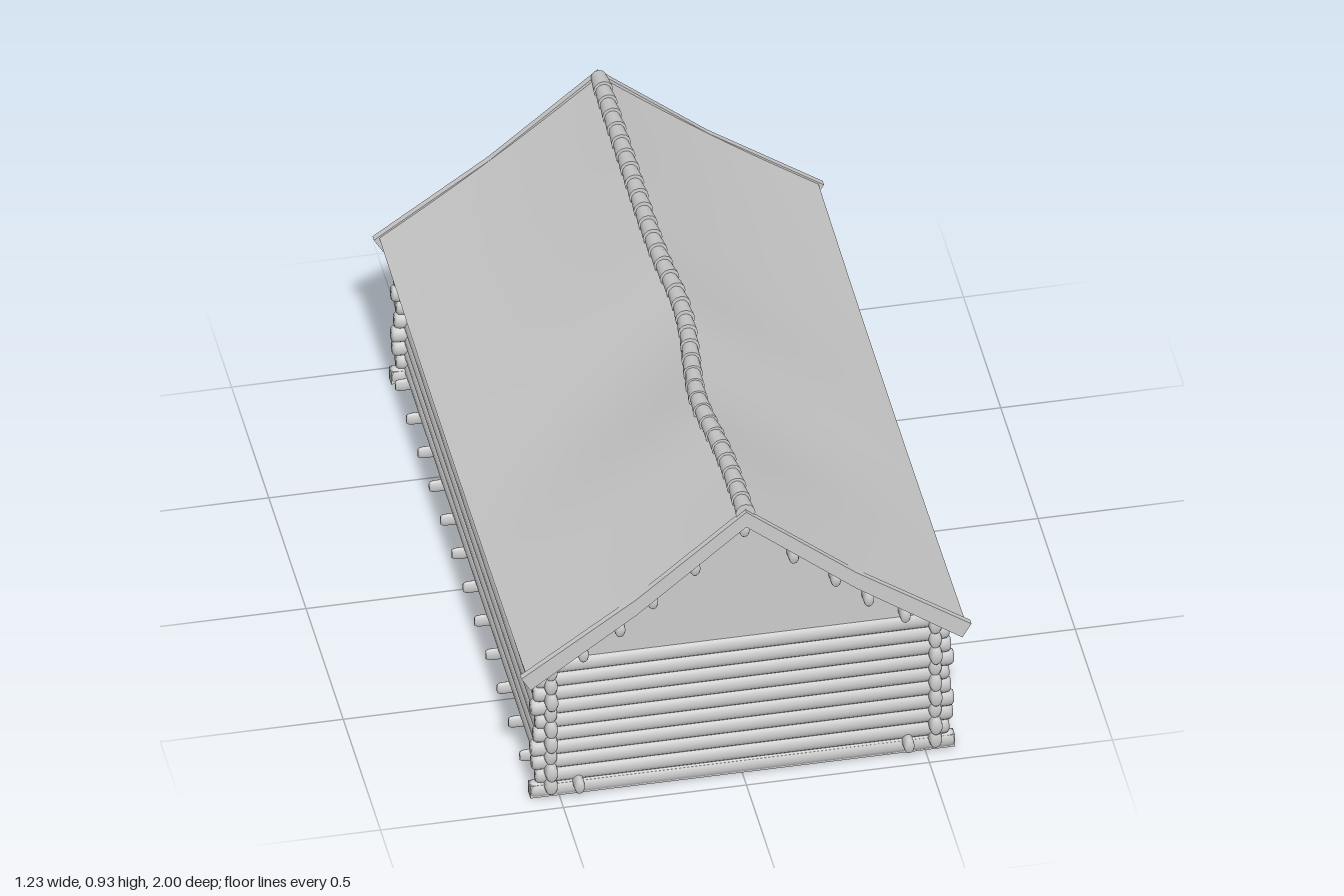
import * as THREE from 'three';

const material = new THREE.MeshStandardMaterial({ color: 0xcccccc, side: THREE.DoubleSide });

const gauss = (z, c, w) => Math.exp(-(((z - c) / w) ** 2));
// Height of the sagging roof surface
function roofTop(x, z) {
  const t = Math.abs(x) / 0.6;
  const ridge = 0.908 - 0.02 * gauss(z, 0.25, 0.28) - 0.008 * gauss(z, -0.2, 0.3);
  const eave = 0.455 - 0.015 * Math.cos((z * Math.PI) / 2);
  return ridge * (1 - t) + eave * t - 0.012 * Math.sin(Math.PI * t);
}
// Sideways wander of the ridge
const ridgeX = (z) => 0.018 * gauss(z, 0.05, 0.2) - 0.02 * gauss(z, 0.47, 0.2);

export function createModel() {
  const model = new THREE.Group();

  function add(name, geometry, x = 0, y = 0, z = 0) {
    const mesh = new THREE.Mesh(geometry, material);
    mesh.name = name;
    mesh.position.set(x, y, z);
    model.add(mesh);
    return mesh;
  }

  // Oval log with rounded ends, lying along z
  function logGeometry(length, halfWidth, halfHeight) {
    const h = length / 2;
    const profile = [[0, -h], [0.7, -h], [0.93, -h + 0.006], [1, -h + 0.016],
      [1, h - 0.016], [0.93, h - 0.006], [0.7, h], [0, h]];
    const g = new THREE.LatheGeometry(profile.map(([r, y]) => new THREE.Vector2(r, y)), 14);
    g.rotateX(Math.PI / 2);
    g.scale(halfWidth, halfHeight, 1);
    g.computeVertexNormals();
    return g;
  }

  // Interlocking log walls, the side rows raised by half a log
  const pitch = 0.0475;
  const endReach = [0.58, 0.565, 0.575, 0.578, 0.57, 0.565, 0.578, 0.57, 0.565, 0.555];
  for (const s of [-1, 1]) {
    for (let i = 0; i < 10; i++) {
      const endLog = logGeometry(endReach[i] * 2, 0.02, 0.027);
      endLog.rotateY(Math.PI / 2);
      add('endWallLog', endLog, 0, 0.028 + i * 0.0455, s * 0.935);
      if (i < 9) {
        const reach = 0.972 + 0.008 * Math.sin(i * 2.3);
        add('sideWallLog', logGeometry(reach * 2, 0.018, 0.028), s * 0.525, 0.047 + i * pitch, 0);
      }
    }
    // Sill under the end wall
    add('endSill', new THREE.BoxGeometry(1.16, 0.04, 0.03), 0, 0.026, s * 0.935);
  }

  // Gable panels and the purlin ends poking through them
  const gable = new THREE.Shape([[-0.525, 0.43], [0.525, 0.43], [0.525, 0.455], [0.27, 0.635],
    [0, 0.87], [-0.27, 0.635], [-0.525, 0.455]].map(([x, y]) => new THREE.Vector2(x, y)));
  const gableGeometry = new THREE.ExtrudeGeometry(gable, { depth: 0.02, bevelEnabled: false });
  const purlinGeometry = logGeometry(0.09, 0.015, 0.024);
  const purlins = [[0.135, 0.73], [0.25, 0.635], [0.34, 0.555], [0.44, 0.485], [0.45, 0.045]];
  for (const s of [-1, 1]) {
    add('gable', gableGeometry, 0, 0, s * 0.935 - 0.01);
    add('ridgePurlinEnd', purlinGeometry, 0, 0.84, s * 0.938);
    for (const [x, y] of purlins) {
      for (const side of [-1, 1]) add('purlinEnd', purlinGeometry, side * x, y, s * 0.938);
    }
  }

  // Sagging roof slopes
  for (const s of [-1, 1]) {
    const g = new THREE.BoxGeometry(0.6, 0.045, 1.97, 10, 1, 32);
    g.translate(s * 0.3, 0, 0);
    const p = g.attributes.position;
    for (let i = 0; i < p.count; i++) {
      const x = p.getX(i), z = p.getZ(i), under = p.getY(i) < 0;
      p.setY(i, roofTop(x, z) - (under ? 0.038 : 0));
      const wander = ridgeX(z) * (1 - Math.abs(x) / 0.6);
      p.setX(i, x * (under ? 0.97 : 1) + wander);
    }
    g.computeVertexNormals();
    add('roofSlope', g);
  }

  // Barge boards along the gable edges
  const barge = new THREE.Shape([[0, 0.918], [0.3, 0.67], [0.615, 0.45], [0.59, 0.408], [0.3, 0.617],
    [0, 0.868], [-0.3, 0.617], [-0.59, 0.408], [-0.615, 0.45], [-0.3, 0.67]]
    .map(([x, y]) => new THREE.Vector2(x, y)));
  const bargeGeometry = new THREE.ExtrudeGeometry(barge, { depth: 0.018, bevelEnabled: false });
  add('frontBargeBoard', bargeGeometry, 0, 0, 0.982);
  add('backBargeBoard', bargeGeometry, 0, 0, -1);

  // Overlapping ridge tiles, each tapered and tilted
  const tileGeometry = new THREE.CylinderGeometry(0.027, 0.021, 0.066, 12);
  tileGeometry.rotateX(Math.PI / 2);
  const tiles = 33;
  for (let i = 0; i < tiles; i++) {
    const z = -0.955 + (1.91 * i) / (tiles - 1);
    const tile = add('ridgeTile', tileGeometry, ridgeX(z), roofTop(0, z) - 0.003, z);
    tile.rotation.x = -0.06;
    tile.rotation.y = (ridgeX(z + 0.03) - ridgeX(z - 0.03)) / 0.06;
  }

  // Floor joist stubs crossing the lowest side logs
  const joistGeometry = logGeometry(0.12, 0.008, 0.019);
  joistGeometry.rotateY(Math.PI / 2);
  for (const s of [-1, 1]) {
    for (let i = 0; i < 12; i++) add('joistEnd', joistGeometry, s * 0.515, 0.022, 0.78 - i * 0.152);
  }

  // Window blocks in the side walls with the deep boxes behind them
  for (const s of [-1, 1]) {
    for (const z of [0.47, -0.14, -0.75]) {
      add('windowBox', new THREE.BoxGeometry(0.23, 0.37, 0.3), s * 0.39, 0.205, z);
      add('windowBlock', new THREE.BoxGeometry(0.05, 0.09, 0.08), s * 0.525, 0.315, z);
      add('windowSill', new THREE.BoxGeometry(0.04, 0.006, 0.3), s * 0.525, 0.272, z);
    }
  }

  return model;
}
